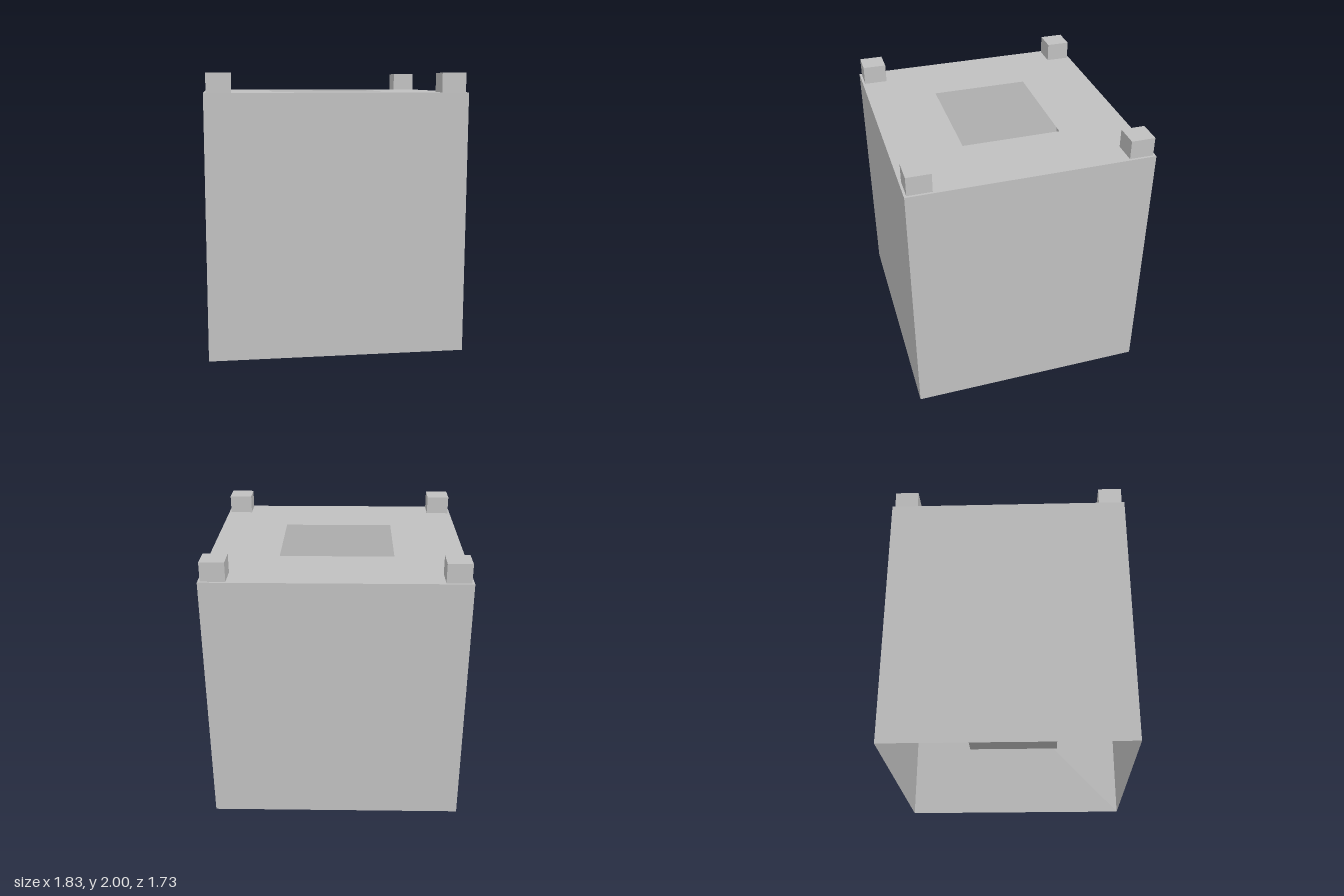
import * as THREE from 'three';

const W = 1.83, D = 1.73, TOP = 1.865; // shell size
const HOLE_W = 0.82, HOLE_D = 0.71;    // opening in the top
const PLATE_Y = 0.4;

export function createModel() {
  const group = new THREE.Group();
  const grey = new THREE.MeshStandardMaterial({ color: 0xc0c0c0, side: THREE.DoubleSide });
  grey.name = 'light grey';

  const add = (name, geometry, x, y, z, rotX = 0, rotY = 0) => {
    const mesh = new THREE.Mesh(geometry, grey);
    mesh.name = name;
    mesh.position.set(x, y, z);
    mesh.rotation.set(rotX, rotY, 0);
    group.add(mesh);
  };

  // Four thin walls, open underneath
  add('frontWall', new THREE.PlaneGeometry(W, TOP), 0, TOP / 2, D / 2);
  add('backWall', new THREE.PlaneGeometry(W, TOP), 0, TOP / 2, -D / 2, 0, Math.PI);
  add('leftWall', new THREE.PlaneGeometry(D, TOP), W / 2, TOP / 2, 0, 0, Math.PI / 2);
  add('rightWall', new THREE.PlaneGeometry(D, TOP), -W / 2, TOP / 2, 0, 0, -Math.PI / 2);

  // Top sheet with a rectangular opening
  const rect = (Type, w, d) => new Type([[-1, -1], [1, -1], [1, 1], [-1, 1]]
    .map(([x, y]) => new THREE.Vector2(x * w / 2, y * d / 2)));
  const top = rect(THREE.Shape, W, D);
  top.holes.push(rect(THREE.Path, HOLE_W, HOLE_D));
  add('topSheet', new THREE.ShapeGeometry(top), 0, TOP, 0, -Math.PI / 2);

  // Sunken plate below the opening
  add('sunkenPlate', new THREE.PlaneGeometry(HOLE_W, HOLE_D), 0, PLATE_Y, 0, -Math.PI / 2);

  // Corner blocks on the top
  const block = new THREE.BoxGeometry(0.17, 2 - TOP, 0.17);
  for (const sx of [-1, 1]) for (const sz of [-1, 1]) {
    add(`${sz > 0 ? 'front' : 'back'}${sx > 0 ? 'Left' : 'Right'}Block`, block,
      sx * 0.813, (2 + TOP) / 2, sz * 0.763);
  }
  return group;
}
